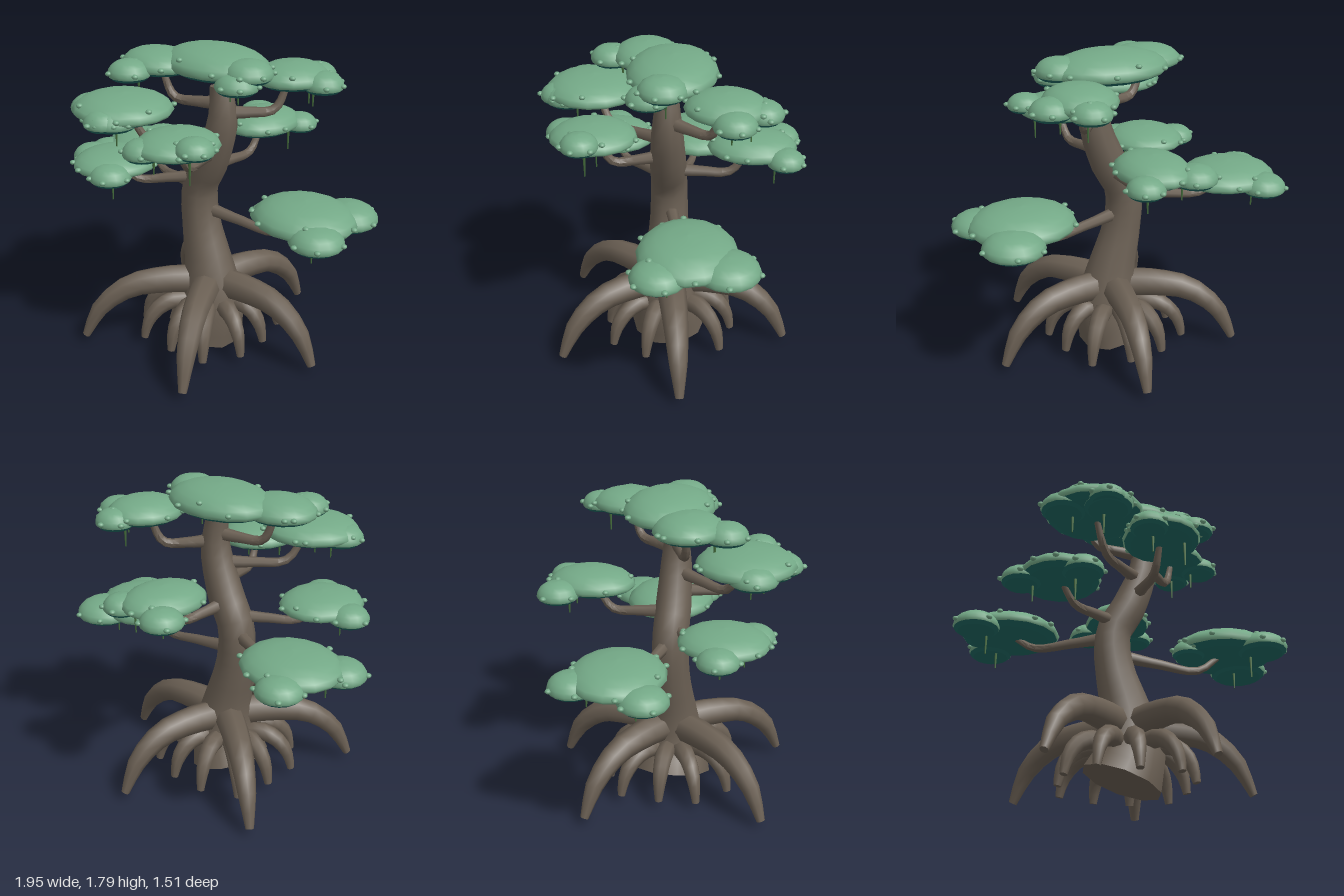
import * as THREE from 'three';
import { toCreasedNormals } from 'three/addons/utils/BufferGeometryUtils.js';

const mat = (name, color) => {
  const m = new THREE.MeshStandardMaterial({ color });
  m.name = name;
  return m;
};

// Tapered, capped tube swept along a smooth path; radii are evenly spaced along it
function limb(points, radii, sides, steps) {
  const curve = new THREE.CatmullRomCurve3(points.map(p => new THREE.Vector3(...p)));
  const { normals, binormals } = curve.computeFrenetFrames(steps);
  const rings = [0, ...Array.from({ length: steps + 1 }, (_, i) => i), steps];
  const pos = [], idx = [];
  rings.forEach((k, i) => {
    const f = (k / steps) * (radii.length - 1), a = Math.min(Math.floor(f), radii.length - 2);
    const cap = i === 0 || i === rings.length - 1;
    const r = cap ? 0 : THREE.MathUtils.lerp(radii[a], radii[a + 1], f - a);
    const c = curve.getPointAt(k / steps);
    for (let j = 0; j < sides; j++) {
      const t = (j / sides) * Math.PI * 2;
      const v = c.clone().addScaledVector(normals[k], r * Math.cos(t)).addScaledVector(binormals[k], r * Math.sin(t));
      pos.push(v.x, v.y, v.z);
      if (i === 0) continue;
      const n = (j + 1) % sides, lo = (i - 1) * sides, hi = i * sides;
      idx.push(lo + j, lo + n, hi + n, lo + j, hi + n, hi + j);
    }
  });
  const g = new THREE.BufferGeometry();
  g.setAttribute('position', new THREE.Float32BufferAttribute(pos, 3));
  g.setIndex(idx);
  return toCreasedNormals(g, 0.9);
}

// Unit foliage pad: domed crown and flat, bevelled underside
const lathe = pts => new THREE.LatheGeometry(pts.map(p => new THREE.Vector2(...p)), 16);
const crownGeo = lathe([[0.95, 0.16], [1, 0.3], [0.95, 0.5], [0.82, 0.71], [0.62, 0.87], [0.34, 0.97], [0, 1]]);
const underGeo = toCreasedNormals(lathe([[0, 0], [0.78, 0], [0.95, 0.16]]), 0.5);
const budGeo = new THREE.IcosahedronGeometry(0.018, 1);

export function createModel() {
  const bark = mat('bark', 0x6b6054);
  const leaf = mat('leaf green', 0x74a987);
  const shade = mat('dark leaf underside', 0x1f6862);
  const vineMat = mat('vine green', 0x466f3e);
  const model = new THREE.Group();
  const add = (parent, name, geo, material) => {
    const m = new THREE.Mesh(geo, material);
    m.name = name;
    parent.add(m);
    return m;
  };

  // Trunk: leaning stump at the base, S-bend above
  const spine = [[0, 0.085], [0.05, 0.23], [0.03, 0.46], [-0.03, 0.7], [-0.055, 0.88], [-0.04, 1],
    [0.03, 1.12], [0.08, 1.24], [0.115, 1.34], [0.13, 1.45], [0.112, 1.6]];
  add(model, 'trunk', limb(spine.map(([x, y]) => [x, y, 0.005]),
    [0.23, 0.18, 0.138, 0.112, 0.105, 0.103, 0.088, 0.06], 10, 20), bark);

  // Arching roots: a tall outer ring and a short inner ring
  const root = (name, x, z, arch, radii) =>
    add(model, name, limb(arch.map(([s, y]) => [0.03 + (x - 0.03) * s, y, z * s]), radii, 8, 9), bark);
  const tall = [[0.05, 0.39], [0.35, 0.4], [0.64, 0.37], [0.87, 0.245], [1, 0.06]];
  for (const [x, z] of [[0.745, -0.1], [0.42, 0.6], [-0.42, 0.6], [-0.59, -0.38], [0.14, -0.69]])
    root('largeRoot', x, z, tall, [0.09, 0.083, 0.072, 0.055, 0.024]);
  const short = [[0.2, 0.25], [0.55, 0.285], [0.8, 0.24], [0.94, 0.16], [1, 0.06]];
  for (let i = 0; i < 11; i++) {
    const a = (i / 11) * Math.PI * 2 + 0.3, r = 0.39 + 0.03 * Math.sin(i * 2.3);
    root('smallRoot', 0.02 + r * Math.cos(a), r * Math.sin(a), short, [0.055, 0.055, 0.043, 0.022]);
  }

  // Branch: leaves the trunk at a given height, sags with its length, then turns up into its pad
  const branch = (group, height, [x, y, z]) => {
    const i = spine.findIndex(p => p[1] > height), [lo, hi] = [spine[i - 1], spine[i]];
    const x0 = THREE.MathUtils.mapLinear(height, lo[1], hi[1], lo[0], hi[0]);
    const sag = 0.1 * ((x - x0) ** 2 + z * z);
    const path = [[0, height], [0.4, height - sag * 0.6], [0.75, height - sag + (y - height) * 0.12], [0.95, y + 0.02]]
      .map(([t, h]) => [x0 + (x - x0) * t, h, z * t]);
    add(group, 'branch', limb(path, [0.042, 0.031, 0.025, 0.017], 7, 12), bark);
  };

  // Lobe: crown, underside and buds around the rim
  const lobe = (group, [x, y, z, rx, h, rz], buds, turn) => {
    for (const [name, geo, m] of [['crown', crownGeo, leaf], ['underside', underGeo, shade]]) {
      const mesh = add(group, name, geo, m);
      mesh.position.set(x, y, z);
      mesh.scale.set(rx, h, rz);
    }
    for (let i = 0; i < buds; i++) {
      const a = turn + (i / buds) * Math.PI * 2 + 0.3 * Math.sin(i * 5 + turn);
      const high = i % 3 === 2, s = high ? 0.88 : 1;
      const bud = add(group, 'bud', budGeo, leaf);
      bud.position.set(x + rx * s * Math.cos(a), y + h * (high ? 0.64 : 0.38), z + rz * s * Math.sin(a));
      bud.scale.y = 0.75;
    }
  };

  // Foliage pad: centre x, base y, centre z, rx, height, rz;
  // side lobes are given by angle in degrees, radius, distance and rise; vines hang below the first two
  const pad = (name, size, lobes, branchHeight) => {
    const group = new THREE.Group();
    group.name = name;
    model.add(group);
    const [x, y, z, rx, , rz] = size;
    lobe(group, size, 8, x * 9);
    lobes.forEach(([deg, r, d = 0.9, rise = -0.015], i) => {
      const a = THREE.MathUtils.degToRad(deg);
      const lx = x + rx * d * Math.cos(a), lz = z + rz * d * Math.sin(a);
      lobe(group, [lx, y + rise, lz, r, 0.06 + 0.4 * r, r], 5, a);
      if (i > 1) return;
      const len = 0.12 + 0.03 * i;
      add(group, 'vine', new THREE.CylinderGeometry(0.009, 0.004, len, 5), vineMat)
        .position.set(x + (lx - x) * 0.7, y - len / 2 + 0.01, z + (lz - z) * 0.7);
    });
    if (branchHeight) branch(group, branchHeight, size);
  };
  pad('leftPad', [0.62, 0.885, -0.13, 0.3, 0.155, 0.27], [[-62, 0.17], [38, 0.15, 0.84], [165, 0.1, 0.75]], 0.84);
  pad('rightPad', [-0.645, 0.97, -0.15, 0.29, 0.135, 0.26], [[-118, 0.13], [133, 0.135, 0.94, -0.03]], 0.95);
  pad('frontRightPad', [-0.37, 1.085, 0.36, 0.23, 0.12, 0.25], [[180, 0.115], [47, 0.12, 0.77]], 1.04);
  pad('backPad', [0.01, 1.215, -0.46, 0.2, 0.13, 0.25], [[-145, 0.12, 1.05], [-48, 0.105, 0.97]], 1.11);
  pad('frontLeftPad', [0.19, 1.34, 0.4, 0.22, 0.12, 0.24], [[120, 0.11, 0.78], [14, 0.105, 0.84, 0.035]], 1.22);
  pad('upperFrontPad', [-0.19, 1.46, 0.44, 0.28, 0.13, 0.27], [[160, 0.13, 0.65], [63, 0.14, 0.55, -0.02], [72, 0.11, 0.72]], 1.33);
  pad('topBackPad', [0.35, 1.595, -0.31, 0.2, 0.125, 0.22], [[-13, 0.115], [-83, 0.11, 0.85]], 1.45);
  pad('topRightPad', [-0.24, 1.645, 0.14, 0.22, 0.125, 0.19], [[92, 0.12, 1.05]], 1.5);
  pad('topPad', [0.05, 1.655, -0.02, 0.34, 0.15, 0.25], [[30, 0.12, 0.9, -0.035], [10, 0.135, 0.82, 0.015]]);
  return model;
}
